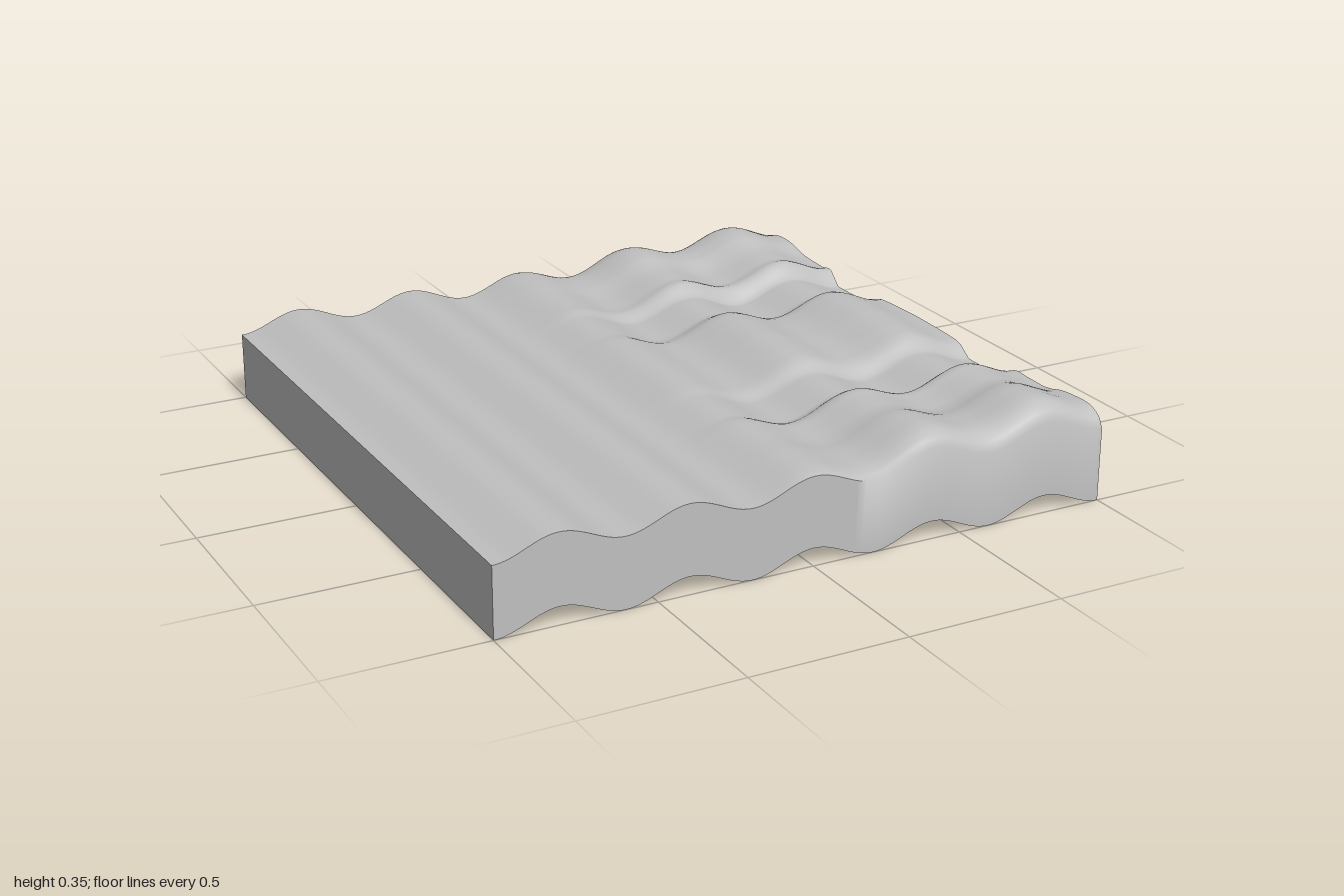
import * as THREE from 'three';
import { toCreasedNormals } from 'three/addons/utils/BufferGeometryUtils.js';

const THICKNESS = 0.222;
const SEGMENTS = 128;

// Cross-section of the raised layers, as [z, height]
const RIDGES = [
  [-1, 0.012], [-0.984, 0.042], [-0.96, 0.056], [-0.93, 0.066], [-0.88, 0.07], [-0.82, 0.066],
  [-0.78, 0.056], [-0.74, 0.047], [-0.7, 0.043], [-0.6, 0.04], [-0.57, 0.048], [-0.55, 0.045], [-0.5, 0],
  [-0.3, 0], [-0.25, 0.033], [-0.22, 0.04], [-0.15, 0.044], [0, 0.047], [0.15, 0.044],
  [0.22, 0.04], [0.25, 0.033], [0.3, 0], [0.5, 0], [0.54, 0.043], [0.57, 0.049], [0.6, 0.046],
  [0.7, 0.044], [0.74, 0.049], [0.78, 0.06], [0.82, 0.066], [0.9, 0.07],
  [0.94, 0.066], [0.965, 0.056], [0.984, 0.042], [1, 0.012],
];

function ridgeHeight(z) {
  for (let i = 1; i < RIDGES.length; i++) {
    const [z0, h0] = RIDGES[i - 1];
    const [z1, h1] = RIDGES[i];
    if (z <= z1) return THREE.MathUtils.mapLinear(z, z0, z1, h0, h1);
  }
  return 0;
}

// Corrugation that runs through the whole slab
const wave = (x) => 0.028 + 0.028 * Math.cos(x * Math.PI * 5);

export function createModel() {
  const group = new THREE.Group();
  group.name = 'wavySlab';

  const grey = new THREE.MeshStandardMaterial({ color: 0xc0c0c0 });
  grey.name = 'grey';

  // Corrugated slab whose layers rise gradually towards +x
  const slab = new THREE.BoxGeometry(2, 1, 2, SEGMENTS, 1, SEGMENTS);
  const pos = slab.attributes.position;
  for (let i = 0; i < pos.count; i++) {
    const x = pos.getX(i);
    const rise = THREE.MathUtils.smoothstep(x, -0.2, 0.7) * ridgeHeight(pos.getZ(i));
    pos.setY(i, wave(x) + (pos.getY(i) > 0 ? THICKNESS + rise : 0));
  }

  const mesh = new THREE.Mesh(toCreasedNormals(slab, 1.0), grey);
  mesh.name = 'corrugatedSlab';
  group.add(mesh);
  return group;
}
